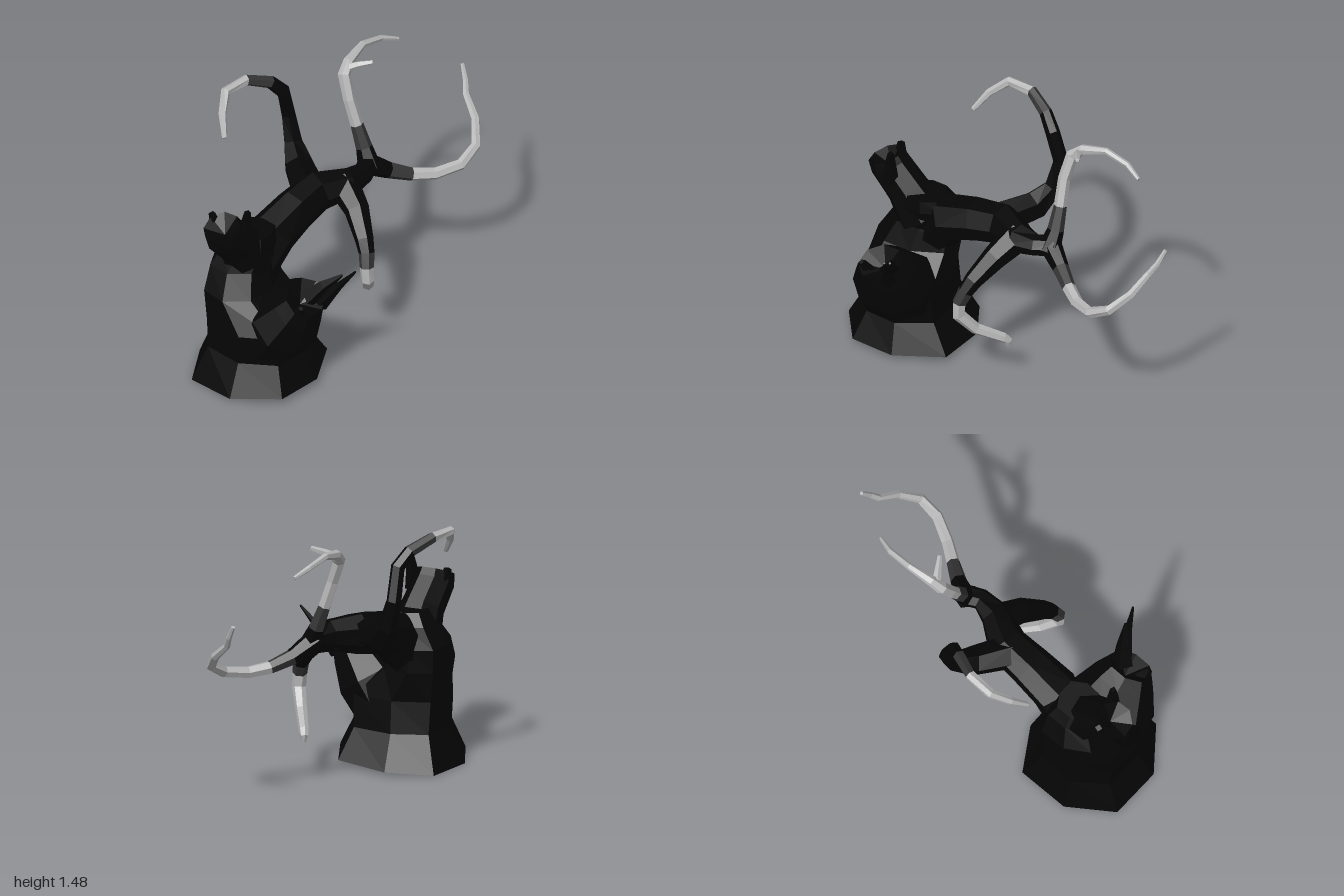
import * as THREE from 'three';

const DARK = 0x050505, MID = 0x363636, PALE = 0xb8b8b8;

// Skin a list of equal-sized rings. The end cap can be sunk to look broken and hollow;
// an open skin has no start cap and shows its inside.
function skin(name, rings, color, { hollow = 0, open = false } = {}) {
  const n = rings[0].length, pos = [], idx = [];
  rings.forEach(r => r.forEach(p => pos.push(p.x, p.y, p.z)));
  for (let i = 0; i < rings.length - 1; i++)
    for (let j = 0; j < n; j++) {
      const a = i * n + j, b = i * n + (j + 1) % n;
      idx.push(a, b, a + n, b, b + n, a + n);
    }
  const mid = r => r.reduce((s, p) => s.add(p), new THREE.Vector3()).divideScalar(n);
  const last = rings.length - 1, first = mid(rings[0]), end = mid(rings[last]);
  end.add(mid(rings[last - 1]).sub(end).setLength(hollow));
  pos.push(...first.toArray(), ...end.toArray());
  const c = rings.length * n;
  for (let j = 0; j < n; j++) {
    const k = (j + 1) % n;
    if (!open) idx.push(c, k, j);
    idx.push(c + 1, last * n + j, last * n + k);
  }
  const g = new THREE.BufferGeometry();
  g.setAttribute('position', new THREE.Float32BufferAttribute(pos, 3));
  g.setIndex(idx);
  g.computeVertexNormals();
  const side = open ? THREE.DoubleSide : THREE.FrontSide;
  const mesh = new THREE.Mesh(g, new THREE.MeshStandardMaterial({ color, side, flatShading: true }));
  mesh.name = name;
  return mesh;
}

// Rings around a path of [x, y, z, radius]; `depth` stretches them along their first axis (near z)
function ringsAlong(path, sides, depth = 1) {
  const pts = path.map(p => new THREE.Vector3(p[0], p[1], p[2]));
  const u = new THREE.Vector3(0.3, 0.1, 1);
  return pts.map((p, i) => {
    const t = new THREE.Vector3();
    if (i > 0) t.add(p.clone().sub(pts[i - 1]).normalize());
    if (i < pts.length - 1) t.add(pts[i + 1].clone().sub(p).normalize());
    t.normalize();
    u.addScaledVector(t, -u.dot(t)).normalize();
    const v = t.clone().cross(u), r = path[i][3];
    return Array.from({ length: sides }, (_, j) => {
      const a = j / sides * Math.PI * 2;
      return p.clone().addScaledVector(u, Math.cos(a) * r * depth).addScaledVector(v, Math.sin(a) * r);
    });
  });
}

// A branch that turns from dark bark to bare pale wood at point index `fade`
function branch(name, path, fade) {
  const group = new THREE.Group();
  group.name = name;
  const rings = ringsAlong(path, 6);
  group.add(skin(name + 'Bark', rings.slice(0, fade + 1), DARK),
    skin(name + 'Fade', rings.slice(fade, fade + 2), MID),
    skin(name + 'Tip', rings.slice(fade + 1), PALE));
  return group;
}

export function createModel() {
  const model = new THREE.Group();
  model.name = 'deadTree';

  // Trunk: one uneven octagon fitted to the extents of each level [y, x0, x1, z0, z1]
  const outline = [[0.57, 1], [0.92, 0.81], [1, 0.45], [0.84, 0.07],
    [0.42, 0], [0.07, 0.14], [0, 0.55], [0.17, 0.92]];
  const levels = [
    [0.02, -0.405, 0.31, 0.28, 1], [0.2, -0.325, 0.235, 0.39, 0.905],
    [0.38, -0.33, 0.25, 0.41, 0.91], [0.55, -0.33, 0.03, 0.41, 0.88],
    [0.68, -0.33, -0.01, 0.42, 0.8], [0.8, -0.265, 0.01, 0.44, 0.73],
    [0.87, -0.22, 0, 0.48, 0.7]];
  model.add(skin('trunk', levels.map(([y, x0, x1, z0, z1], i) => outline.map(([a, b]) => {
    const x = x0 + (x1 - x0) * a;
    return new THREE.Vector3(x, i ? y : y + 0.06 * x, z0 + (z1 - z0) * b);
  })), DARK, { open: true }));

  // Broken stubs with sunken tops
  model.add(skin('topStub', ringsAlong([[-0.13, 0.7, 0.61, 0.15], [-0.135, 0.84, 0.71, 0.12],
    [-0.15, 0.96, 0.82, 0.115], [-0.15, 1.015, 0.845, 0.105]], 8), DARK, { hollow: 0.07 }));
  model.add(skin('sideStub', ringsAlong([[0.02, 0.22, 0.64, 0.18], [0.15, 0.42, 0.66, 0.2],
    [0.24, 0.55, 0.67, 0.145], [0.285, 0.62, 0.68, 0.11]], 8, 1.2), DARK, { hollow: 0.08 }));

  // Splinters on the stub rims
  [[[-0.05, 0.92, 0.77, 0.045], [-0.04, 1.06, 0.77, 0.028], [-0.035, 1.12, 0.765, 0.018]],
    [[-0.22, 0.95, 0.79, 0.04], [-0.245, 1.05, 0.8, 0.02]],
    [[0.33, 0.55, 0.61, 0.045], [0.43, 0.69, 0.575, 0.022], [0.525, 0.81, 0.55, 0.006]],
    [[0.28, 0.58, 0.63, 0.06], [0.35, 0.67, 0.59, 0.035], [0.44, 0.755, 0.555, 0.008]],
    [[0.28, 0.55, 0.76, 0.05], [0.32, 0.62, 0.78, 0.015]]
  ].forEach((p, i) => model.add(skin('splinter' + (i + 1), ringsAlong(p, 4), DARK)));

  // Main bough leaning backward out of the trunk
  model.add(skin('mainBough', ringsAlong([[-0.13, 0.58, 0.55, 0.12], [-0.09, 0.76, 0.43, 0.135],
    [-0.06, 0.82, 0.25, 0.122], [-0.03, 0.855, 0.08, 0.115], [0.08, 0.87, -0.06, 0.085],
    [0.11, 0.88, -0.17, 0.06], [0.08, 0.885, -0.27, 0.06]], 7), DARK));

  // Right branch curling up and forward
  model.add(branch('rightBranch', [[-0.06, 0.86, 0.12, 0.1], [-0.22, 0.89, -0.02, 0.085],
    [-0.3, 0.975, -0.09, 0.056], [-0.345, 1.13, -0.11, 0.042], [-0.345, 1.31, -0.06, 0.04],
    [-0.39, 1.39, 0, 0.036], [-0.47, 1.445, 0.12, 0.031], [-0.505, 1.445, 0.27, 0.027],
    [-0.46, 1.37, 0.37, 0.022], [-0.4, 1.275, 0.44, 0.014]], 5));

  // Left branch drooping and hooking back
  model.add(branch('leftBranch', [[0.05, 0.87, -0.04, 0.09], [0.2, 0.79, 0.04, 0.07],
    [0.3, 0.68, 0.12, 0.052], [0.335, 0.62, 0.15, 0.044], [0.355, 0.55, 0.178, 0.04],
    [0.36, 0.47, 0.178, 0.038], [0.31, 0.37, 0.1, 0.033], [0.235, 0.3, -0.03, 0.028],
    [0.22, 0.275, -0.055, 0.023], [0.22, 0.24, -0.055, 0.01]], 3));

  // Upright branch with a side twig
  model.add(branch('uprightBranch', [[0.1, 0.86, -0.24, 0.065], [0.05, 0.97, -0.26, 0.046],
    [0, 1.1, -0.265, 0.036], [-0.05, 1.25, -0.265, 0.034], [-0.1, 1.38, -0.29, 0.036],
    [-0.11, 1.43, -0.35, 0.03], [-0.11, 1.46, -0.49, 0.02], [-0.08, 1.43, -0.63, 0.017],
    [-0.03, 1.39, -0.72, 0.011]], 1));
  model.add(skin('sideTwig', ringsAlong([[-0.11, 1.4, -0.32, 0.028],
    [-0.04, 1.435, -0.35, 0.02], [0.03, 1.46, -0.38, 0.013]], 5), PALE));

  // Rear branch sweeping out and up
  model.add(branch('rearBranch', [[0.07, 0.89, -0.23, 0.065], [0.16, 0.81, -0.34, 0.046],
    [0.25, 0.765, -0.43, 0.037], [0.34, 0.75, -0.52, 0.034], [0.43, 0.775, -0.64, 0.032],
    [0.45, 0.84, -0.76, 0.028], [0.38, 0.93, -0.86, 0.024], [0.28, 1.02, -0.92, 0.019],
    [0.25, 1.08, -0.96, 0.016], [0.21, 1.155, -0.99, 0.011]], 1));

  return model;
}
